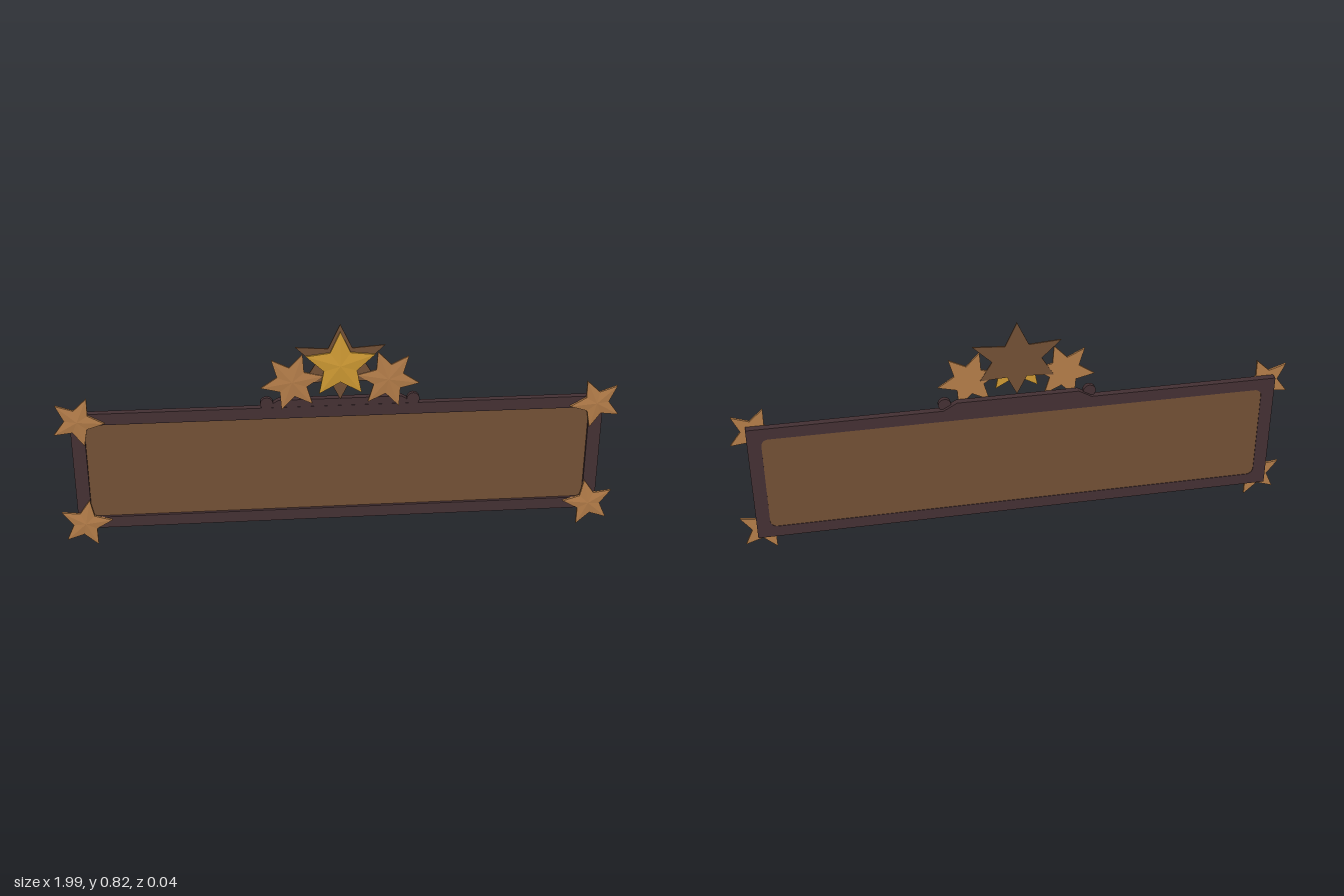
import * as THREE from 'three';

const mat = (name, color) => {
  const m = new THREE.MeshStandardMaterial({ color });
  m.name = name;
  m.flatShading = true;
  return m;
};

// Star outline: tips on radius r, notches on r * notch
function starPoints(n, r, notch, angle) {
  return Array.from({ length: n * 2 }, (_, i) => {
    const a = angle + (i * Math.PI) / n, d = i % 2 ? r * notch : r;
    return new THREE.Vector2(Math.cos(a) * d, Math.sin(a) * d);
  });
}

function plate(points, z0, z1) {
  const g = new THREE.ExtrudeGeometry(new THREE.Shape(points), { depth: z1 - z0, bevelEnabled: false });
  return g.translate(0, 0, z0);
}

// Ridged star face: a fan rising from the outline to a central peak
function facets(points, z0, peak) {
  const pos = [];
  points.forEach((p, i) => {
    const q = points[(i + 1) % points.length];
    pos.push(p.x, p.y, z0, q.x, q.y, z0, 0, 0, peak);
  });
  const g = new THREE.BufferGeometry();
  g.setAttribute('position', new THREE.Float32BufferAttribute(pos, 3));
  g.computeVertexNormals();
  return g;
}

export function createModel() {
  const root = new THREE.Group();
  const frameMat = mat('dark wood', 0x443033);
  const woodMat = mat('brown wood', 0x735035);
  const bronzeMat = mat('bronze', 0xb47d49);
  const goldMat = mat('gold', 0xcf9a33);

  const add = (name, geometry, material, x = 0, y = 0, parent = root) => {
    const m = new THREE.Mesh(geometry, material);
    m.name = name;
    m.position.set(x, y, 0);
    parent.add(m);
    return m;
  };

  function ridgedStar(name, material, x, y, n, r, notch, degrees, z0, z1, peak) {
    const g = new THREE.Group();
    g.name = name;
    g.position.set(x, y, 0);
    const a = THREE.MathUtils.degToRad(degrees);
    add('starPlate', plate(starPoints(n, r, notch, a), z0, z1), material, 0, 0, g);
    add('starRidges', facets(starPoints(n, r * 0.96, notch, a), z1 + 0.0003, peak), material, 0, 0, g);
    root.add(g);
  }

  // Frame with a rounded opening
  const midY = 0.288, w = 0.94, h = 0.226, iw = 0.892, ih = 0.183, c = 0.025;
  const outline = new THREE.Shape([[-w, -h], [w, -h], [w, h], [-w, h]].map(p => new THREE.Vector2(...p)));
  const hole = new THREE.Path();
  hole.absarc(iw - c, ih - c, c, 0, Math.PI / 2);
  hole.absarc(-iw + c, ih - c, c, Math.PI / 2, Math.PI);
  hole.absarc(-iw + c, -ih + c, c, Math.PI, Math.PI * 1.5);
  hole.absarc(iw - c, -ih + c, c, Math.PI * 1.5, Math.PI * 2);
  hole.closePath();
  outline.holes.push(hole);
  const frame = new THREE.ExtrudeGeometry(outline, { depth: 0.025, bevelEnabled: false, curveSegments: 5 });
  add('frame', frame.translate(0, 0, -0.02), frameMat, 0, midY);

  // Board set into the frame
  const board = new THREE.BoxGeometry(iw * 2 + 0.02, ih * 2 + 0.02, 0.012).translate(0, 0, -0.012);
  add('board', board, woodMat, 0, midY);

  // Crest rail with round end knobs
  const rail = [[-0.27, 0.51], [0.27, 0.51], [0.215, 0.541], [-0.215, 0.541]];
  add('crestRail', plate(rail.map(p => new THREE.Vector2(...p)), -0.02, 0.004), frameMat);
  for (const s of [-1, 1]) {
    const knob = new THREE.CylinderGeometry(0.023, 0.023, 0.016, 12).rotateX(Math.PI / 2);
    add('crestKnob', knob, frameMat, s * 0.257, 0.531);
  }

  // Backing star with six uneven points
  const half = [[0, 0.82], [0.042, 0.732], [0.155, 0.74], [0.087, 0.675], [0.13, 0.605], [0.035, 0.61]];
  const backing = [
    ...half, [0, 0.54],
    ...half.slice(1).reverse().map(([x, y]) => [-x, y]),
  ].map(p => new THREE.Vector2(...p)).reverse();
  add('backingStar', plate(backing, 0.004, 0.01), woodMat);

  // Gold centre star
  ridgedStar('centreStar', goldMat, 0, 0.669, 5, 0.126, 0.48, 90, 0.01, 0.017, 0.022);

  // Mirrored side and corner stars
  for (const s of [-1, 1]) {
    const turn = d => (s < 0 ? d : 180 - d);
    ridgedStar('sideStar', bronzeMat, s * 0.168, 0.612, 6, 0.11, 0.5, turn(190), 0.0055, 0.013, 0.017);
    for (const v of [-1, 1]) {
      ridgedStar('cornerStar', bronzeMat, s * 0.914, midY + v * 0.202, 5, 0.095, 0.46,
        v * turn(66), 0.0055, 0.0145, 0.019);
    }
  }
  return root;
}
